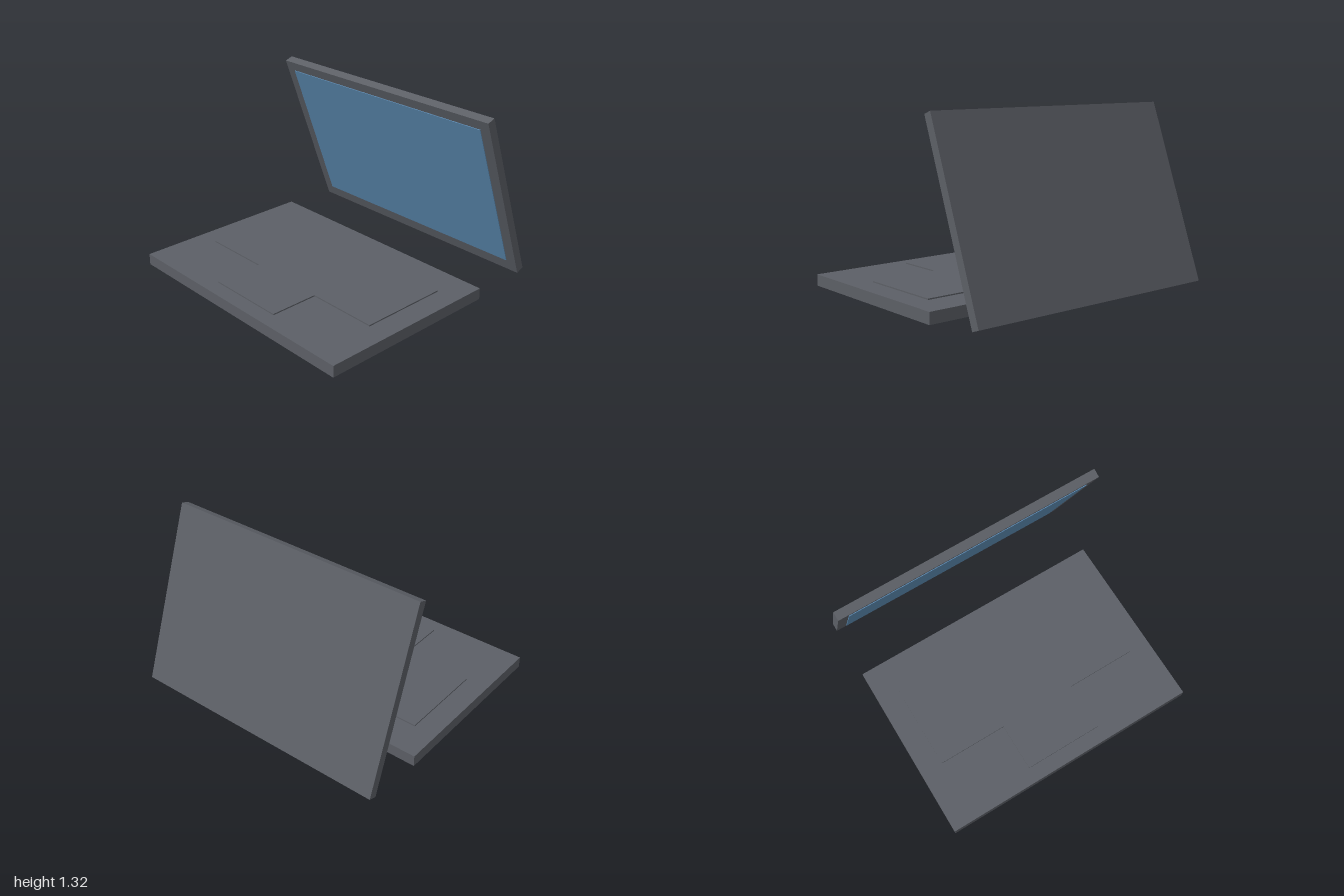
import * as THREE from 'three';

const bodyGrey = new THREE.MeshStandardMaterial({ color: 0x5c5f66 });
bodyGrey.name = 'bodyGrey';
const screenBlue = new THREE.MeshStandardMaterial({ color: 0x5c8ab2 });
screenBlue.name = 'screenBlue';

function box(name, w, h, d, material, x, y, z) {
  const mesh = new THREE.Mesh(new THREE.BoxGeometry(w, h, d), material);
  mesh.name = name;
  mesh.position.set(x, y, z);
  return mesh;
}

export function createModel() {
  const laptop = new THREE.Group();
  laptop.name = 'laptop';

  // Flat base slab
  laptop.add(box('base', 2, 0.084, 1.388, bodyGrey, 0, 0.042, 0.244));

  // Raised T-shaped keyboard and touchpad area (shape y becomes -z)
  const half = [[0.83, 0.2], [0.83, -0.46], [0.3, -0.46], [0.3, -0.825]];
  const outline = [...half, ...half.map(([x, y]) => [-x, y]).reverse()];
  const shape = new THREE.Shape(outline.map(([x, y]) => new THREE.Vector2(x, y)));
  const keyboard = new THREE.Mesh(
    new THREE.ExtrudeGeometry(shape, { depth: 0.009, bevelEnabled: false }), bodyGrey);
  keyboard.name = 'keyboardAndTouchpad';
  keyboard.rotation.x = -Math.PI / 2;
  keyboard.position.y = 0.084;
  laptop.add(keyboard);

  // Lid floating behind the base, top edge tipped towards the front
  const lid = new THREE.Group();
  lid.name = 'lid';
  lid.position.set(0, 0.685, -0.679);
  lid.rotation.x = THREE.MathUtils.degToRad(20);
  lid.add(box('lidPanel', 2, 1.332, 0.064, bodyGrey, 0, 0, 0));
  lid.add(box('screen', 1.84, 1.168, 0.006, screenBlue, 0, 0.009, 0.034));
  laptop.add(lid);

  return laptop;
}
